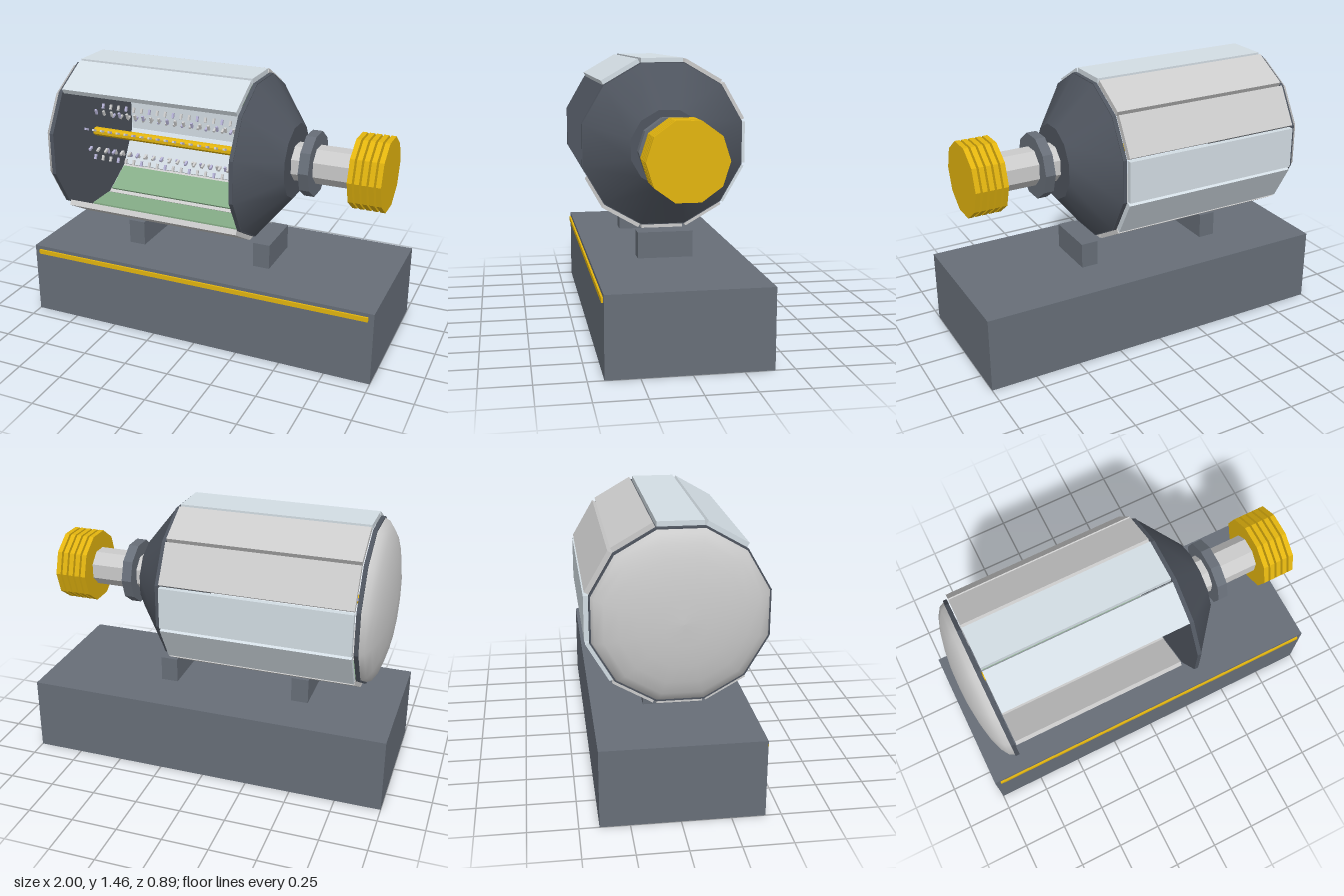
import * as THREE from 'three';

const GREY = 0xcccccc, BLUE = 0xd3dde4, SLATE = 0x676e78, DARK = 0x4f555f,
  GOLD = 0xe3b50f, GREEN = 0x86ad88, LILAC = 0xb5b2d6;

function material(color, flat = true) {
  return new THREE.MeshStandardMaterial({ color, flatShading: flat });
}

function add(parent, name, geometry, color, flat = true) {
  const mesh = new THREE.Mesh(geometry, material(color, flat));
  mesh.name = name;
  parent.add(mesh);
  return mesh;
}

// Box given by its minimum and maximum corners
function block(parent, name, [x0, y0, z0], [x1, y1, z1], color) {
  const mesh = add(parent, name, new THREE.BoxGeometry(x1 - x0, y1 - y0, z1 - z0), color);
  mesh.position.set((x0 + x1) / 2, (y0 + y1) / 2, (z0 + z1) / 2);
  return mesh;
}

// Prism or cone along x; r0 at x0, r1 at x1; turned so a flat faces front if asked
function prism(parent, name, x0, x1, r0, r1, sides, flatFront, color, flat = true) {
  const g = new THREE.CylinderGeometry(r1, r0, x1 - x0, sides);
  if (flatFront) g.rotateY(Math.PI / sides);
  g.rotateZ(-Math.PI / 2);
  const mesh = add(parent, name, g, color, flat);
  mesh.position.x = (x0 + x1) / 2;
  return mesh;
}

// Box lying on a circle round the x axis; angle runs from front (+z) to up
function radialBox(parent, name, x, radius, deg, size, color) {
  const a = THREE.MathUtils.degToRad(deg);
  const mesh = add(parent, name, new THREE.BoxGeometry(...size), color);
  mesh.position.set(x, radius * Math.sin(a), radius * Math.cos(a));
  mesh.rotation.x = -a;
  return mesh;
}

export function createModel() {
  const model = new THREE.Group();

  // Base, accent strip and saddles
  block(model, 'base', [-1, 0, -0.4], [1, 0.41, 0.42], SLATE);
  block(model, 'accentStrip', [-0.97, 0.365, 0.415], [0.97, 0.39, 0.43], GOLD);
  for (const x of [-0.52, 0.245]) {
    block(model, 'saddle', [x, 0.41, -0.13], [x + 0.095, 0.55, 0.165], SLATE);
  }

  const drum = new THREE.Group();
  drum.name = 'drum';
  drum.position.set(0, 1.003, 0.015);
  model.add(drum);

  // Wall panels, open on three sides of the front
  const panels = new THREE.Group();
  panels.name = 'wallPanels';
  drum.add(panels);
  const blue = [60, 90, 180, 210], lined = [150, 240, 270];
  for (let deg = 60; deg <= 300; deg += 30) {
    radialBox(panels, 'wallPanel', -0.293, 0.44, deg, [1.015, 0.225, 0.03],
      blue.includes(deg) ? BLUE : GREY);
    if (lined.includes(deg)) {
      radialBox(panels, 'innerPlate', -0.293, 0.42, deg, [1.0, 0.18, 0.012], GREEN);
    }
  }

  // End plates and tapered head
  prism(drum, 'endPlate', -0.828, -0.806, 0.447, 0.447, 12, true, DARK);
  prism(drum, 'headPlate', 0.22, 0.242, 0.447, 0.447, 12, true, DARK);
  prism(drum, 'taperedHead', 0.242, 0.43, 0.443, 0.205, 12, true, DARK, false);

  // Shallow domed end
  const profile = [];
  for (let i = 0; i <= 6; i++) {
    const t = (i / 6) * Math.PI / 2;
    profile.push(new THREE.Vector2(0.44 * Math.cos(t), 0.115 * Math.sin(t)));
  }
  const domeShape = new THREE.LatheGeometry(profile, 12, Math.PI / 12);
  domeShape.rotateZ(Math.PI / 2);
  const dome = add(drum, 'domedEnd', domeShape, GREY, false);
  dome.material.side = THREE.DoubleSide;
  dome.position.x = -0.825;

  // Central rod with eight rows of small pins around it
  prism(drum, 'centreRod', -0.81, 0.225, 0.025, 0.025, 8, true, GOLD);
  const pins = new THREE.Group();
  pins.name = 'pinRows';
  drum.add(pins);
  for (let row = 0; row < 8; row++) {
    for (let i = 0; i < 20; i++) {
      const x = -0.78 + i * 0.05 + (row % 2) * 0.02;
      radialBox(pins, 'pin', x, 0.148, 22.5 + row * 45, [0.012, 0.012, 0.03],
        i % 3 ? GREY : LILAC);
    }
  }

  // Shaft, collar and finned end
  prism(drum, 'shaft', 0.42, 0.93, 0.104, 0.104, 8, true, GREY);
  prism(drum, 'collar', 0.495, 0.55, 0.176, 0.176, 10, false, SLATE);
  for (let i = 0; i < 5; i++) {
    const x = 0.763 + i * 0.0375;
    prism(drum, 'fin', x, x + 0.026, 0.2, 0.2, 10, false, GOLD);
  }

  return model;
}
